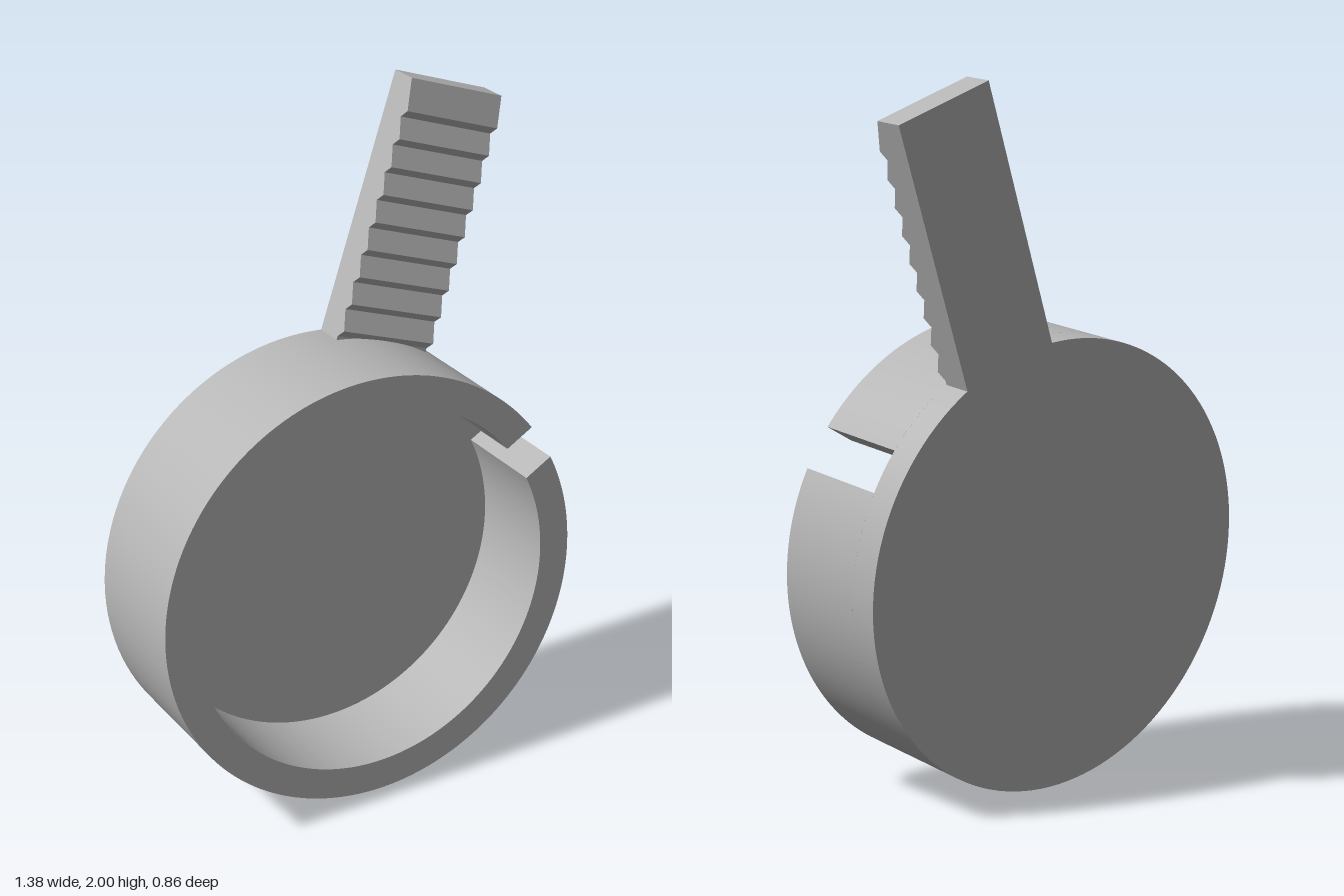
import * as THREE from 'three';
import { toCreasedNormals } from 'three/addons/utils/BufferGeometryUtils.js';

const R = 0.646, INNER = 0.553;      // cup radii
const FLOOR = 0.09, DEPTH = 0.393;   // floor thickness and total depth
const TIP = 1.39, WIDTH = 0.305;     // handle reach and width

export function createModel() {
  const grey = new THREE.MeshStandardMaterial({ color: 0xb6b6b6 });
  grey.name = 'grey';
  const model = new THREE.Group();
  model.name = 'handledCup';

  // Tilted frame: z is the cup axis, y runs along the handle
  const cup = new THREE.Group();
  cup.name = 'cup';
  const axis = new THREE.Vector3(-0.376, 0.09, 0.922).normalize();
  const along = new THREE.Vector3(0.362, 0.931, 0.056);
  along.addScaledVector(axis, -along.dot(axis)).normalize();
  const across = new THREE.Vector3().crossVectors(along, axis);
  cup.quaternion.setFromRotationMatrix(new THREE.Matrix4().makeBasis(across, along, axis));
  cup.position.set(0.057, 0.645, -0.176);
  model.add(cup);

  const add = (name, geometry) => {
    const mesh = new THREE.Mesh(geometry, grey);
    mesh.name = name;
    cup.add(mesh);
  };

  // Floor disc
  const disc = new THREE.CylinderGeometry(R, R, FLOOR, 128);
  disc.rotateX(Math.PI / 2).translate(0, 0, FLOOR / 2);
  add('floor', disc);

  // Ring wall with one parallel-sided slot down to the floor
  const mid = THREE.MathUtils.degToRad(50.2), half = 0.0625;
  const ao = Math.asin(half / R), ai = Math.asin(half / INNER);
  const ring = new THREE.Shape();
  ring.absarc(0, 0, R, mid + ao, mid - ao + Math.PI * 2, false);
  ring.absarc(0, 0, INNER, mid - ai + Math.PI * 2, mid + ai, true);
  ring.closePath();
  const wall = new THREE.ExtrudeGeometry(ring, { depth: DEPTH - FLOOR, bevelEnabled: false, curveSegments: 128 });
  wall.translate(0, 0, FLOOR);
  add('slottedWall', toCreasedNormals(wall, 0.5));

  // Handle: side profile with a row of saw teeth, swept across its width
  const low = 0.09, high = 0.115, pitch = 0.08, first = TIP - 0.088;
  const profile = new THREE.Shape();
  profile.moveTo(0.62, 0);
  profile.lineTo(TIP, 0);
  profile.lineTo(TIP, low);
  for (let i = 0; i <= 8; i++) {
    const peak = first - i * pitch;
    profile.lineTo(peak, high);
    profile.lineTo(peak - 0.022, low);
  }
  profile.lineTo(0.62, low);
  profile.closePath();
  const handle = new THREE.ExtrudeGeometry(profile, { depth: WIDTH, bevelEnabled: false });
  handle.translate(0, 0, -WIDTH / 2);
  handle.applyMatrix4(new THREE.Matrix4().makeBasis(
    new THREE.Vector3(0, 1, 0), new THREE.Vector3(0, 0, 1), new THREE.Vector3(1, 0, 0)));
  add('toothedHandle', handle);

  return model;
}
